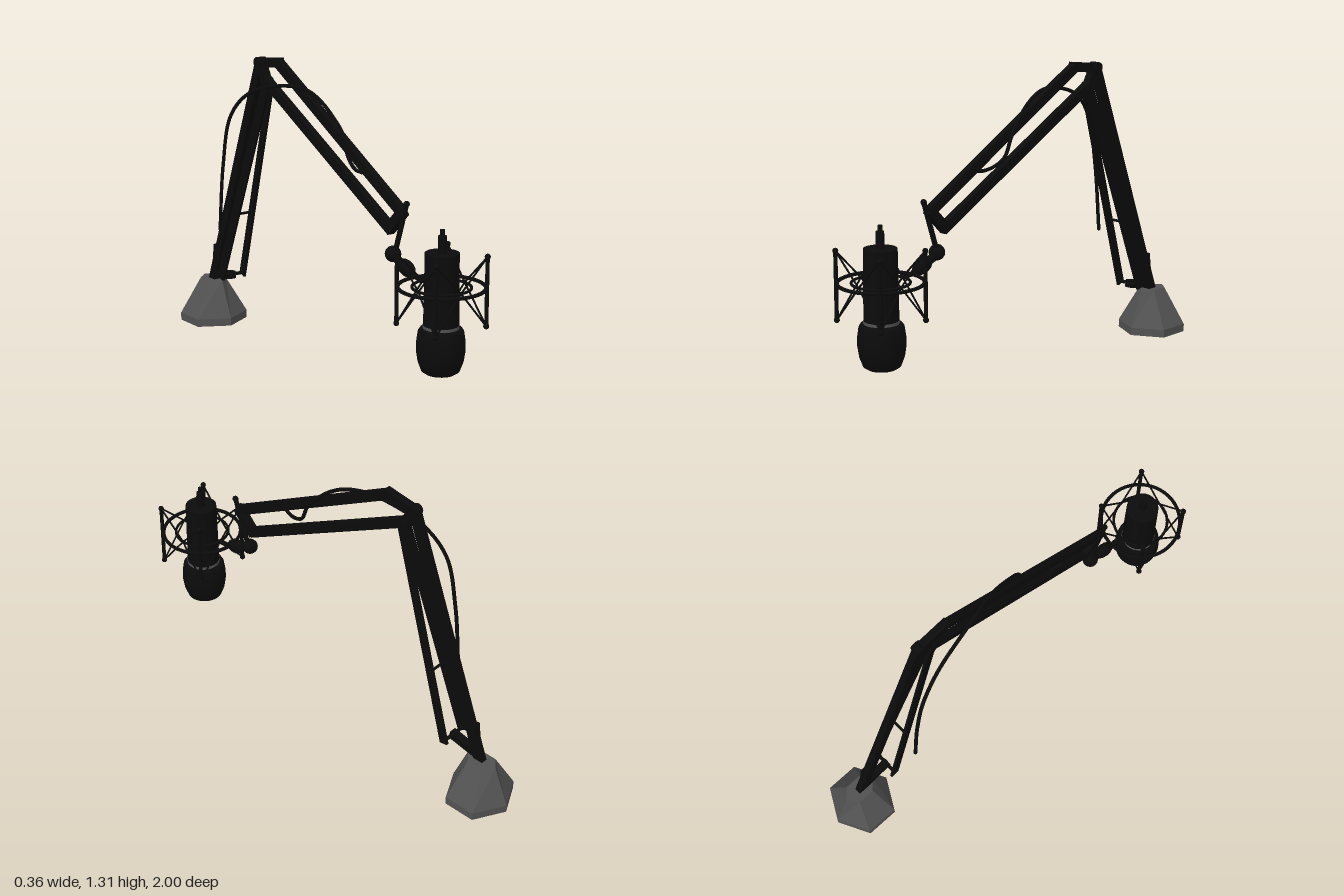
import * as THREE from 'three';

const black = new THREE.MeshStandardMaterial({ color: 0x0b0b0b });
black.name = 'matte black';
const grey = new THREE.MeshStandardMaterial({ color: 0x525252, flatShading: true });
grey.name = 'base grey';
const V = (x, y, z) => new THREE.Vector3(x, y, z);

function add(parent, name, geometry, material = black, x = 0, y = 0, z = 0) {
  const mesh = new THREE.Mesh(geometry, material);
  mesh.name = name;
  mesh.position.set(x, y, z);
  parent.add(mesh);
  return mesh;
}

// Rectangular bar between two points; width is across x
function bar(parent, name, a, b, width, depth, extra = 0) {
  const dir = b.clone().sub(a);
  const mesh = add(parent, name, new THREE.BoxGeometry(width, depth, dir.length() + extra));
  mesh.position.copy(a).add(b).multiplyScalar(0.5);
  mesh.lookAt(b);
  return mesh;
}

// Round rod between two points
function rod(parent, name, a, b, r, r2 = r, sides = 10) {
  const dir = b.clone().sub(a);
  const mesh = add(parent, name, new THREE.CylinderGeometry(r2, r, dir.length(), sides));
  mesh.position.copy(a).add(b).multiplyScalar(0.5);
  mesh.quaternion.setFromUnitVectors(V(0, 1, 0), dir.normalize());
  return mesh;
}

function ball(parent, name, p, r) {
  return add(parent, name, new THREE.SphereGeometry(r, 16, 12), black, p.x, p.y, p.z);
}

function pin(parent, name, p, r, length) {
  return rod(parent, name, V(p.x - length / 2, p.y, p.z), V(p.x + length / 2, p.y, p.z), r, r, 14);
}

function buildBase(root) {
  const base = new THREE.Group();
  base.name = 'base';
  base.position.set(0.01, 0, -0.857);
  root.add(base);
  const foot = add(base, 'baseFoot', new THREE.CylinderGeometry(0.145, 0.145, 0.035, 6), grey, 0, 0.0175);
  foot.scale.x = 1.08;
  // Tapered hexagon, narrower across x at the top
  const taper = new THREE.CylinderGeometry(0.075, 0.145, 0.165, 6);
  const p = taper.attributes.position;
  for (let i = 0; i < p.count; i++) p.setX(i, p.getX(i) * (p.getY(i) > 0 ? 0.69 : 1.08));
  taper.computeVertexNormals();
  add(base, 'baseTaper', taper, grey, 0, 0.1175);
}

function buildArm(root) {
  const arm = new THREE.Group();
  arm.name = 'arm';
  root.add(arm);
  const x = 0.008;
  const P = (y, z) => V(x, y, z);

  // Forearm: two parallel bars joined at the ends
  bar(arm, 'upperForearmBar', P(0.795, 0.55), P(1.285, -0.31), 0.03, 0.042, 0.02);
  bar(arm, 'lowerForearmBar', P(0.712, 0.475), P(1.205, -0.42), 0.03, 0.042, 0.02);
  bar(arm, 'forearmEndLink', P(0.79, 0.55), P(0.712, 0.475), 0.036, 0.04, 0.03);
  bar(arm, 'elbowTopLink', P(1.287, -0.31), P(1.268, -0.45), 0.034, 0.04, 0.03);
  bar(arm, 'elbowLink', P(1.27, -0.45), P(1.18, -0.4), 0.034, 0.045, 0.02);
  pin(arm, 'elbowPin', P(1.27, -0.45), 0.024, 0.044);
  pin(arm, 'elbowPin', P(1.19, -0.4), 0.022, 0.044);

  // Rear bar down to the base
  bar(arm, 'rearBar', P(1.27, -0.45), P(0.19, -0.85), 0.03, 0.044);
  // Pair of splayed flat struts with cross pieces
  for (const s of [-1, 1])
    bar(arm, 'frontStrut', V(0.011 + s * 0.012, 1.18, -0.395), V(0.011 + s * 0.06, 0.25, -0.7), 0.012, 0.044, 0.02);
  rod(arm, 'strutCrossbar', V(-0.044, 0.56, -0.6), V(0.066, 0.56, -0.6), 0.006);
  rod(arm, 'strutCrossbar', V(-0.052, 0.25, -0.7), V(0.074, 0.25, -0.7), 0.008);
  bar(arm, 'lowerLink', P(0.25, -0.69), P(0.222, -0.84), 0.032, 0.036);
  bar(arm, 'hingePlate', P(0.37, -0.805), P(0.215, -0.825), 0.036, 0.03);

  // Swivel joint carrying the microphone
  rod(arm, 'swivelRod', V(0.004, 0.61, 0.51), V(0.004, 0.84, 0.585), 0.011);
  ball(arm, 'swivelTip', V(0.004, 0.835, 0.584), 0.013);
  ball(arm, 'swivelBall', V(-0.002, 0.613, 0.507), 0.034);
  rod(arm, 'swivelNeck', V(0, 0.6, 0.52), V(0, 0.56, 0.62), 0.018);
  const knob = ball(arm, 'swivelKnob', V(0, 0.572, 0.592), 0.034);
  knob.scale.set(0.8, 1, 1.55);
  knob.rotation.x = 0.3;
  rod(arm, 'mountStem', V(0, 0.552, 0.62), V(0, 0.545, 0.7), 0.011);
}

function buildMicrophone(root) {
  const mic = new THREE.Group();
  mic.name = 'microphone';
  mic.position.set(-0.002, 0, 0.818);
  root.add(mic);

  add(mic, 'body', new THREE.CylinderGeometry(0.069, 0.072, 0.295, 32), black, 0, 0.5375);
  add(mic, 'collar', new THREE.CylinderGeometry(0.0735, 0.0735, 0.012, 32), grey, 0, 0.384);
  const head = [[0, 0.188], [0.06, 0.189], [0.077, 0.2], [0.092, 0.24], [0.099, 0.285],
    [0.098, 0.325], [0.092, 0.365], [0.084, 0.377], [0, 0.378]];
  add(mic, 'head', new THREE.LatheGeometry(head.map(([r, y]) => new THREE.Vector2(r, y)), 32));
  add(mic, 'connector', new THREE.CylinderGeometry(0.017, 0.018, 0.07, 14), black, 0, 0.72);
  add(mic, 'connectorTip', new THREE.CylinderGeometry(0.01, 0.01, 0.03, 12), black, 0, 0.765);

  // Shock mount: two rings, four posts and crossing elastic bands
  for (const [name, r, t] of [['outerRing', 0.174, 0.008], ['innerRing', 0.118, 0.006]])
    add(mic, name, new THREE.TorusGeometry(r, t, 8, 48), black, 0, 0.545).rotation.x = Math.PI / 2;
  for (const sx of [-1, 1]) for (const sz of [-1, 1]) {
    const px = sx * 0.13, pz = sz * 0.122;
    rod(mic, 'post', V(px, 0.385, pz), V(px, 0.68, pz), 0.0085);
    for (const y of [0.39, 0.675]) {
      ball(mic, 'postCap', V(px, y, pz), 0.012);
      rod(mic, 'elasticBand', V(px, y, pz), V(0, 0.545, sz * 0.118), 0.004, 0.004, 6);
      rod(mic, 'elasticBand', V(px, y, pz), V(sx * 0.118, 0.545, 0), 0.004, 0.004, 6);
    }
  }
}

export function createModel() {
  const root = new THREE.Group();
  root.name = 'microphoneArm';
  buildBase(root);
  buildArm(root);
  buildMicrophone(root);

  // Loose cable looping over the forearm and hanging behind
  const path = new THREE.CatmullRomCurve3([
    V(-0.015, 0.918, 0.31), V(0.01, 0.915, 0.23), V(0.033, 0.955, 0.15), V(0.038, 1.04, 0.11),
    V(0.028, 1.1, 0.06), V(0.015, 1.16, -0.01), V(0, 1.198, -0.09), V(-0.03, 1.205, -0.2),
    V(-0.075, 1.145, -0.42), V(-0.1, 1.03, -0.53), V(-0.106, 0.8, -0.585), V(-0.107, 0.5, -0.615)]);
  add(root, 'cable', new THREE.TubeGeometry(path, 90, 0.008, 8));
  for (const t of [0, 1]) ball(root, 'cableEnd', path.getPoint(t), 0.008);
  return root;
}
